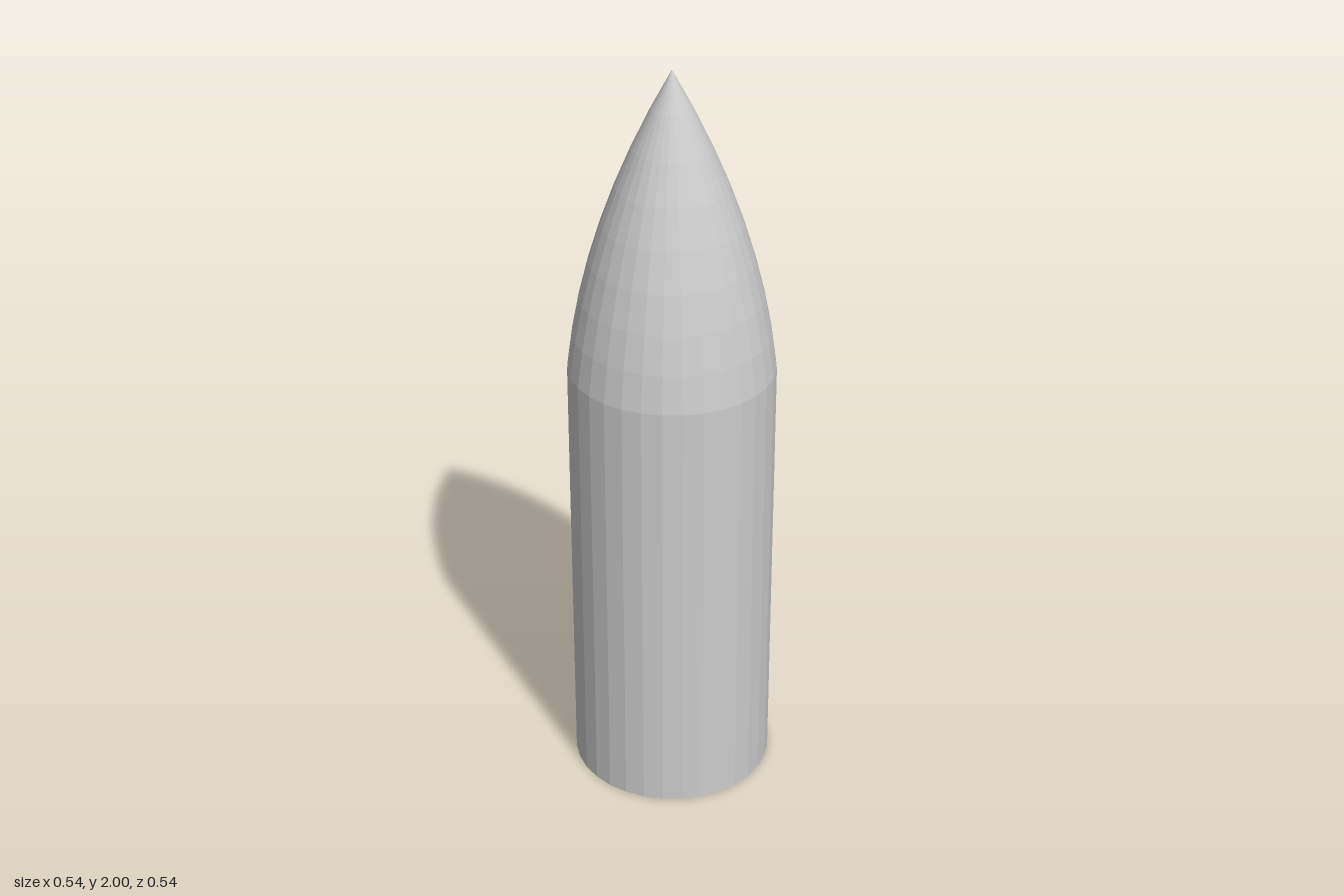
import * as THREE from 'three';

const SIDES = 32;
const RADIUS = 0.27;
const BODY_HEIGHT = 1.2;
const NOSE_HEIGHT = 0.8;
const NOSE_RINGS = 8;

export function createModel() {
  const model = new THREE.Group();
  const material = new THREE.MeshStandardMaterial({ color: 0xcccccc, flatShading: true });

  const add = (name, geometry) => {
    const mesh = new THREE.Mesh(geometry, material);
    mesh.name = name;
    model.add(mesh);
    return mesh;
  };

  // Straight body, closed underneath and open where the nose joins
  const bodyProfile = [
    new THREE.Vector2(0, 0),
    new THREE.Vector2(RADIUS, 0),
    new THREE.Vector2(RADIUS, BODY_HEIGHT),
  ];
  add('body', new THREE.LatheGeometry(bodyProfile, SIDES));

  // Pointed nose: the taper steepens steadily from the shoulder to the tip
  const noseProfile = [];
  for (let i = 0; i <= NOSE_RINGS; i++) {
    const t = i / NOSE_RINGS;
    const r = RADIUS * (1 - 0.33 * t - 0.67 * t * t);
    noseProfile.push(new THREE.Vector2(i === NOSE_RINGS ? 0 : r, t * NOSE_HEIGHT));
  }
  add('nose', new THREE.LatheGeometry(noseProfile, SIDES)).position.y = BODY_HEIGHT;

  return model;
}
